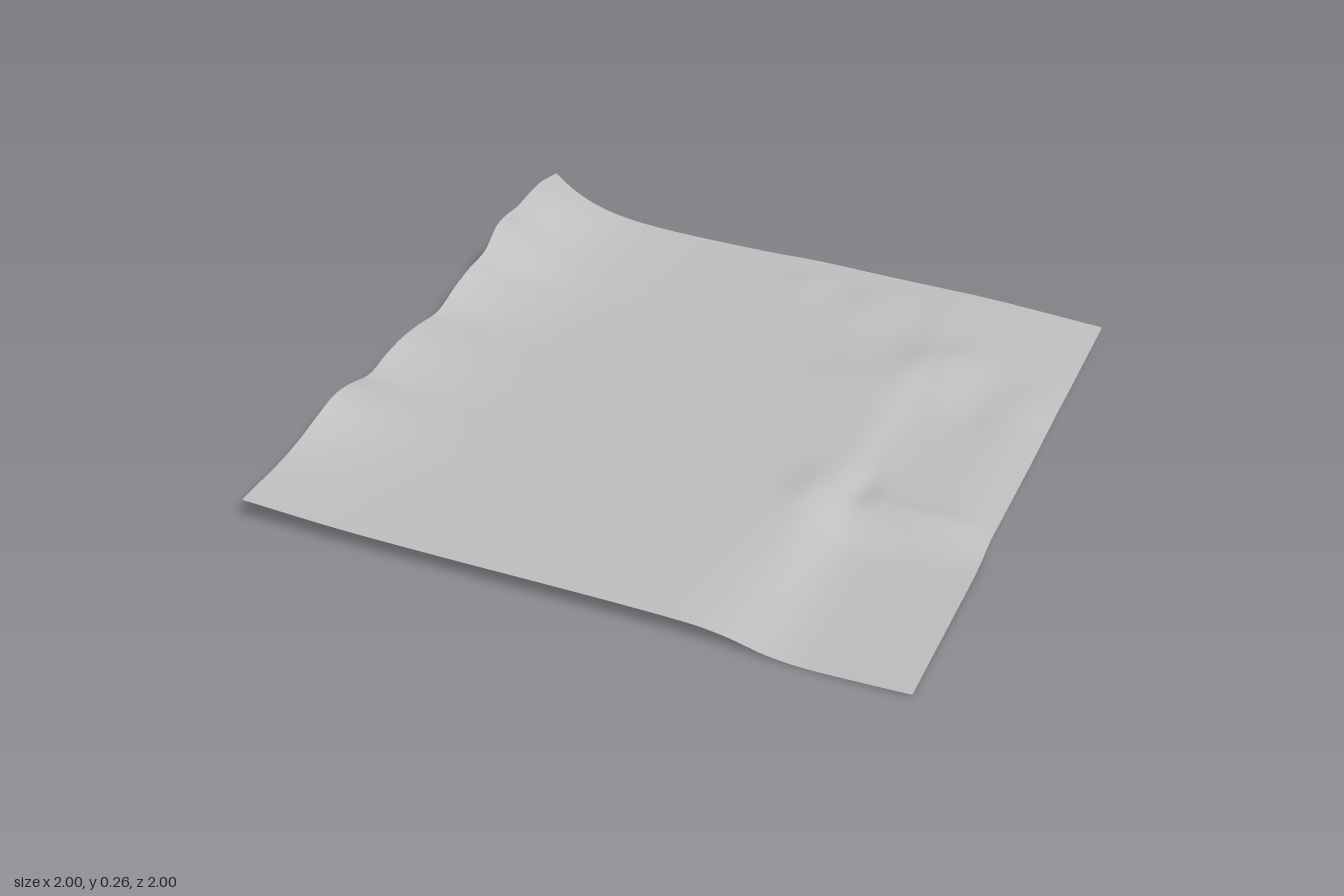
import * as THREE from 'three';

// Smooth profile through [position, height] points with ascending positions
function profile(points) {
  return (t) => {
    let i = 0;
    while (i < points.length - 2 && t > points[i + 1][0]) i++;
    const at = (k) => points[Math.min(Math.max(k, 0), points.length - 1)];
    const slope = (k) => (at(k + 1)[1] - at(k - 1)[1]) / (at(k + 1)[0] - at(k - 1)[0]);
    const [x0, y0] = at(i), [x1, y1] = at(i + 1);
    const w = x1 - x0, u = (t - x0) / w, v = 1 - u;
    return y0 * v * v * (1 + 2 * u) + y1 * u * u * (1 + 2 * v)
      + w * u * v * (slope(i) * v - slope(i + 1) * u);
  };
}

// Heights across the sheet, and along the raised left-hand bank
const frontLine = profile([[-1, 0.074], [-0.7, 0.06], [-0.4, 0.056], [0, 0.056], [0.2, 0.055],
  [0.4, 0.05], [0.5, 0.036], [0.6, 0.012], [0.7, 0.003], [0.85, 0.005], [1, 0.01]]);
const middleLine = profile([[-1, 0.085], [-0.6, 0.073], [0, 0.072], [0.4, 0.075], [0.52, 0.077],
  [0.6, 0.06], [0.75, 0.052], [0.9, 0.046], [1, 0.033]]);
const backLine = profile([[-1, 0.105], [-0.6, 0.096], [-0.2, 0.089], [0, 0.09], [0.3, 0.08],
  [0.6, 0.073], [1, 0.046]]);
const bankLine = profile([[-1, 0.24], [-0.86, 0.258], [-0.7, 0.242], [-0.6, 0.245], [-0.54, 0.233],
  [-0.46, 0.184], [-0.35, 0.17], [-0.25, 0.15], [-0.13, 0.117], [0, 0.13], [0.1, 0.135],
  [0.2, 0.126], [0.3, 0.11], [0.42, 0.137], [0.5, 0.144], [0.6, 0.124], [0.7, 0.1], [0.8, 0.085], [1, 0.074]]);

// Small hills and hollows: x, z, radius in x, radius in z, height
const bumps = [
  [0.62, -0.52, 0.12, 0.14, 0.026], [0.28, -0.78, 0.12, 0.14, 0.012],
  [0.04, -0.84, 0.08, 0.1, 0.006], [0.38, -0.3, 0.16, 0.12, 0.01],
  [0.82, 0.3, 0.14, 0.06, 0.012], [0.59, 0.23, 0.05, 0.09, -0.014],
  [0.47, 0.3, 0.07, 0.12, 0.014], [0.75, -0.28, 0.08, 0.12, -0.008],
  [0.9, -0.4, 0.1, 0.12, 0.008], [-0.1, 0.6, 0.2, 0.12, 0.004],
  [-0.2, -0.1, 0.25, 0.15, 0.003], [-0.62, -0.3, 0.14, 0.16, -0.004],
];

function height(x, z) {
  const step = THREE.MathUtils.smoothstep;
  const toFront = x > 0.45
    ? THREE.MathUtils.lerp((z + 0.1) / 1.1, step(z, 0.26, 0.46), step(x, 0.45, 0.65))
    : (z + 0.1) / 1.1;
  let y = z > -0.1
    ? THREE.MathUtils.lerp(middleLine(x), frontLine(x), toFront)
    : THREE.MathUtils.lerp(middleLine(x), backLine(x), (-0.1 - z) / 0.9);
  const edge = z > -0.1
    ? THREE.MathUtils.lerp(0.085, 0.074, (z + 0.1) / 1.1)
    : THREE.MathUtils.lerp(0.085, 0.105, (-0.1 - z) / 0.9);
  // The bank falls away quickly from the left-hand edge
  const d = x + 1;
  y += (bankLine(z) - edge) * Math.exp(-d / 0.15 - d * d * 4);
  for (const [bx, bz, rx, rz, h] of bumps) {
    y += h * Math.exp(-(((x - bx) / rx) ** 2) - ((z - bz) / rz) ** 2);
  }
  return Math.max(y, 0);
}

export function createModel() {
  const group = new THREE.Group();
  group.name = 'terrain';
  const stone = new THREE.MeshStandardMaterial({ color: 0xbfbfbf, side: THREE.DoubleSide });
  stone.name = 'light grey ground';

  // Open ground sheet raised by the height rule
  const geometry = new THREE.PlaneGeometry(2, 2, 100, 100).rotateX(-Math.PI / 2);
  const position = geometry.attributes.position;
  for (let i = 0; i < position.count; i++) {
    position.setY(i, height(position.getX(i), position.getZ(i)));
  }
  geometry.computeVertexNormals();
  const ground = new THREE.Mesh(geometry, stone);
  ground.name = 'groundSheet';
  group.add(ground);
  return group;
}
